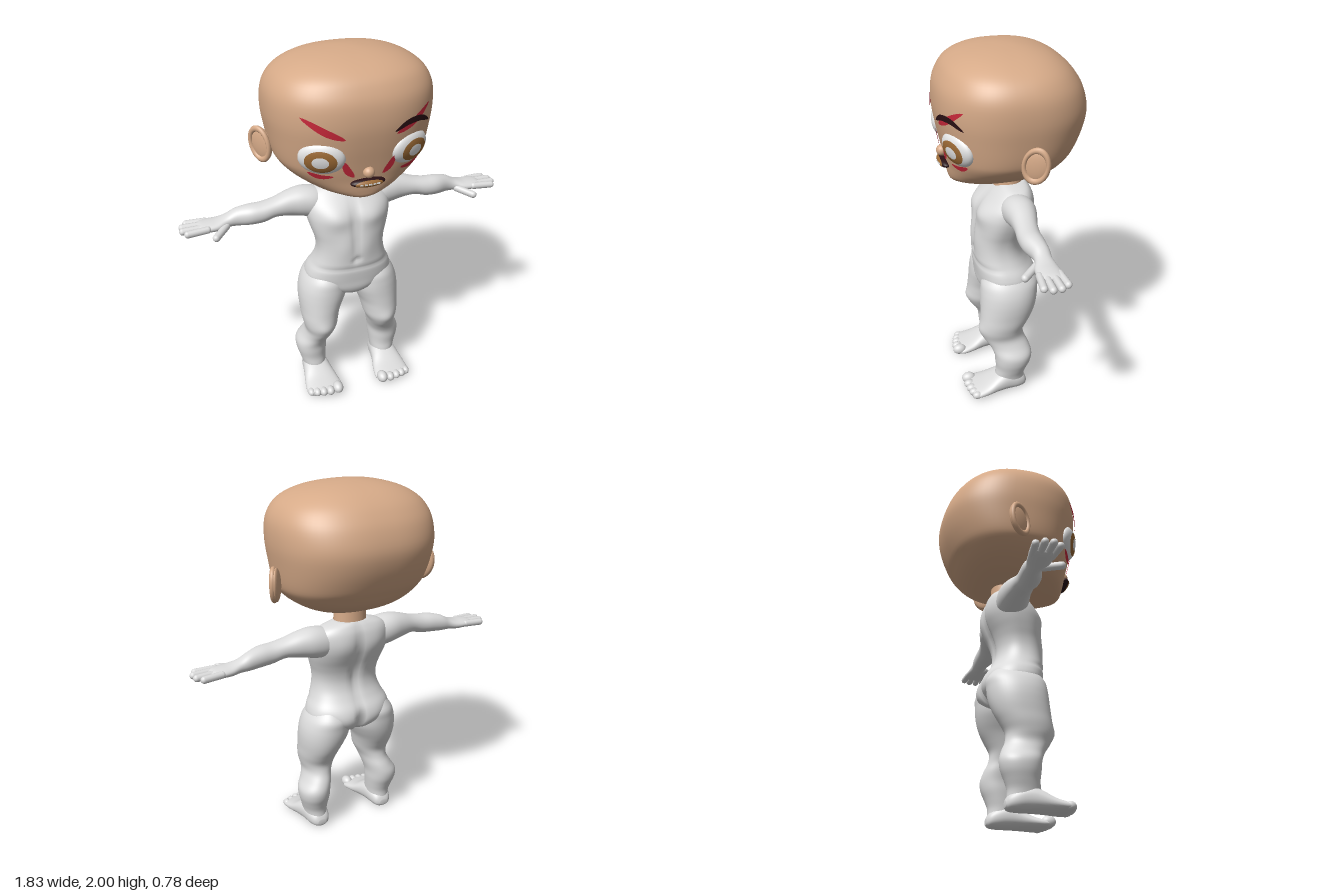
import * as THREE from 'three';

const mat = (name, color, side = THREE.FrontSide) => {
  const m = new THREE.MeshStandardMaterial({ color, side });
  m.name = name;
  return m;
};

// Smooth interpolation of section rows
function resample(rows, steps) {
  const out = [];
  const at = i => rows[Math.min(Math.max(i, 0), rows.length - 1)];
  for (let i = 0; i < rows.length - 1; i++) {
    for (let s = 0; s < steps; s++) {
      const t = s / steps;
      out.push(rows[i].map((b, k) => {
        const a = at(i - 1)[k], c = at(i + 1)[k], d = at(i + 2)[k];
        return b + 0.5 * t * (c - a + t * (2 * a - 5 * b + 4 * c - d + t * (3 * (b - c) + d - a)));
      }));
    }
  }
  out.push(rows[rows.length - 1]);
  return out;
}

// Closed loft of superellipse rows [t, uMin, uMax, vMax, vMin] along one axis
function loft(rows, axis, n = 2.2, warp = null, seg = 48) {
  const rings = resample(rows, 4), pos = [], idx = [];
  const put = (t, u, v) => {
    const p = axis === 'y' ? new THREE.Vector3(u, t, v) : axis === 'x' ? new THREE.Vector3(t, u, v) : new THREE.Vector3(u, v, t);
    if (warp) warp(p);
    pos.push(p.x, p.y, p.z);
  };
  const tri = (a, b, c) => axis === 'y' ? idx.push(a, c, b) : idx.push(a, b, c);
  const pw = c => Math.sign(c) * Math.abs(c) ** (2 / n);
  for (const [t, u0, u1, v1, v0] of rings) {
    for (let j = 0; j < seg; j++) {
      const a = j / seg * Math.PI * 2;
      put(t, (u0 + u1) / 2 + (u1 - u0) / 2 * pw(Math.cos(a)), (v0 + v1) / 2 + (v1 - v0) / 2 * pw(Math.sin(a)));
    }
  }
  const last = (rings.length - 1) * seg, c0 = rings.length * seg;
  for (const [t, u0, u1, v1, v0] of [rings[0], rings[rings.length - 1]]) put(t, (u0 + u1) / 2, (v0 + v1) / 2);
  for (let j = 0; j < seg; j++) {
    const k = (j + 1) % seg;
    for (let i = 0; i < last; i += seg) {
      tri(i + j, i + k, i + seg + j);
      tri(i + k, i + seg + k, i + seg + j);
    }
    tri(c0, k, j);
    tri(c0 + 1, last + j, last + k);
  }
  const g = new THREE.BufferGeometry();
  g.setAttribute('position', new THREE.Float32BufferAttribute(pos, 3));
  g.setIndex(idx);
  g.computeVertexNormals();
  return g;
}

// Mirror across x, keeping faces outward
function mirror(geo) {
  const g = geo.clone().scale(-1, 1, 1), ix = g.index.array;
  for (let i = 0; i < ix.length; i += 3) [ix[i], ix[i + 1]] = [ix[i + 1], ix[i]];
  return g;
}

const symmetric = rows => rows.map(([y, w, f, b]) => [y, -w, w, f, b]);
const bump = (a, b, ra, rb) => Math.exp(-((a / ra) ** 2) - (b / rb) ** 2);

const HEAD = symmetric([
  [1.29, .06, .30, .16], [1.305, .13, .318, .0], [1.33, .215, .325, -.13], [1.36, .275, .33, -.205],
  [1.4, .335, .335, -.26], [1.45, .383, .345, -.3], [1.5, .405, .355, -.333], [1.6, .424, .375, -.374],
  [1.7, .437, .387, -.39], [1.8, .432, .38, -.365], [1.87, .403, .352, -.322], [1.92, .352, .312, -.272],
  [1.96, .27, .242, -.205], [1.985, .17, .155, -.125], [1.997, .07, .07, -.05], [2, .01, .02, .0]]);
const TORSO = symmetric([
  [.575, .03, .1, .02], [.61, .1, .16, -.08], [.65, .19, .183, -.12], [.7, .245, .188, -.135],
  [.75, .24, .193, -.13], [.8, .215, .196, -.1], [.85, .197, .195, -.075], [.9, .19, .193, -.065],
  [.95, .195, .19, -.07], [1, .21, .186, -.085], [1.05, .225, .178, -.105], [1.1, .235, .165, -.12],
  [1.15, .235, .14, -.125], [1.2, .215, .1, -.12], [1.235, .17, .065, -.105], [1.255, .09, .05, -.09]]);
const LEG = [
  [.04, .155, .275, .12, -.05], [.1, .15, .285, .125, -.045], [.15, .145, .3, .12, -.06], [.2, .14, .314, .125, -.08],
  [.25, .137, .314, .13, -.086], [.3, .125, .285, .15, -.072], [.35, .112, .268, .182, -.05], [.4, .09, .278, .198, -.045],
  [.45, .078, .287, .2, -.07], [.5, .064, .29, .197, -.098], [.55, .04, .293, .194, -.118], [.6, .018, .292, .192, -.13],
  [.65, .012, .283, .188, -.135], [.7, .02, .262, .178, -.135], [.75, .06, .225, .14, -.1]];
const ARM = [
  [.1, 1.08, 1.21, .06, -.08], [.18, 1.065, 1.235, .08, -.095], [.25, 1.075, 1.242, .075, -.095], [.32, 1.09, 1.23, .065, -.08],
  [.4, 1.1, 1.205, .062, -.06], [.47, 1.083, 1.192, .066, -.055], [.54, 1.077, 1.187, .06, -.058], [.61, 1.075, 1.17, .035, -.06],
  [.66, 1.075, 1.145, .032, -.058], [.71, 1.07, 1.13, .048, -.068], [.76, 1.072, 1.125, .052, -.074], [.8, 1.075, 1.12, .05, -.072], [.825, 1.085, 1.11, .04, -.06]];
const FOOT = [
  [-.056, .19, .24, .05, .02], [-.04, .165, .262, .08, .005], [0, .15, .28, .11, 0], [.06, .14, .29, .13, 0],
  [.12, .13, .3, .11, 0], [.18, .115, .312, .075, 0], [.24, .106, .318, .055, 0], [.275, .115, .31, .045, .008]];

// Front surface of the head at a given x and y
function headZ(x, y) {
  const rows = resample(HEAD, 4);
  const i = Math.max(1, rows.findIndex(r => r[0] >= y));
  const t = (y - rows[i - 1][0]) / (rows[i][0] - rows[i - 1][0]);
  const [, , w, f, b] = rows[i].map((v, k) => rows[i - 1][k] + (v - rows[i - 1][k]) * t);
  return (f + b) / 2 + (f - b) / 2 * Math.max(0, 1 - Math.abs(x / w) ** 2.4) ** (1 / 2.4);
}

// Tapered painted stroke lying on the face
function stroke(points, width, lift = .008) {
  const curve = new THREE.CatmullRomCurve3(points.map(([x, y]) => new THREE.Vector3(x, y, 0)));
  const pos = [], idx = [], n = 20;
  for (let i = 0; i <= n; i++) {
    const p = curve.getPoint(i / n), d = curve.getTangent(i / n);
    const w = width / 2 * Math.sin(Math.PI * i / n) ** .6;
    for (const s of [-w, w]) {
      const x = p.x - d.y * s, y = p.y + d.x * s;
      pos.push(x, y, headZ(x, y) + lift);
    }
    if (i < n) idx.push(2 * i, 2 * i + 2, 2 * i + 1, 2 * i + 1, 2 * i + 2, 2 * i + 3);
  }
  const g = new THREE.BufferGeometry();
  g.setAttribute('position', new THREE.Float32BufferAttribute(pos, 3));
  g.setIndex(idx);
  g.computeVertexNormals();
  return g;
}

const ball = (x, y, z, a, b, c) => new THREE.SphereGeometry(1, 24, 16).scale(a, b, c).translate(x, y, z);

// Rounded finger between two points
function finger(a, b, r) {
  const p = new THREE.Vector3(...a), q = new THREE.Vector3(...b), d = q.clone().sub(p);
  return new THREE.CapsuleGeometry(r, d.length(), 6, 12)
    .applyQuaternion(new THREE.Quaternion().setFromUnitVectors(new THREE.Vector3(0, 1, 0), d.clone().normalize()))
    .translate(...p.add(q).multiplyScalar(.5).toArray());
}

// Band of a sphere around its +z pole
const zBand = (from, to) => new THREE.SphereGeometry(1, 40, 8, 0, Math.PI * 2, from, to - from).rotateX(Math.PI / 2);

export function createModel() {
  const model = new THREE.Group();
  const skin = mat('skin', 0xd6aa88), body = mat('pale body', 0xdcdcdc), white = mat('eye white', 0xe6e6e6);
  const brown = mat('iris brown', 0x9c6a35), dark = mat('dark brow', 0x2a1014, THREE.DoubleSide);
  const red = mat('red paint', 0xc8283a, THREE.DoubleSide);
  const add = (name, geo, material) => {
    const m = new THREE.Mesh(geo, material);
    m.name = name;
    model.add(m);
  };
  const pair = (name, geo, material) => {
    add(name + 'Left', geo, material);
    add(name + 'Right', mirror(geo), material);
  };

  // Head, neck and nose
  add('head', loft(HEAD, 'y', 2.4, null, 72), skin);
  add('neck', new THREE.CylinderGeometry(.088, .096, .18, 32).scale(1, 1, .85).translate(0, 1.29, -.005), skin);
  add('nose', ball(0, 1.452, .35, .03, .03, .03), skin);

  // Ears flare outward at the back
  const ear = g => g.rotateX(-.25).rotateY(-.6).translate(.445, 1.512, -.035);
  pair('ear', ear(ball(0, 0, 0, .022, .092, .07)), skin);
  pair('earRim', ear(new THREE.TorusGeometry(.07, .014, 10, 36).rotateY(Math.PI / 2).scale(1, 1.18, .86).translate(.012, 0, 0)), skin);

  // Eyes with ring irises
  const eye = (g, k) => g.scale(.118 * k, .09 * k, .048 * k).rotateX(.2).rotateY(.44).translate(.228, 1.543, .305);
  pair('eyeball', eye(new THREE.SphereGeometry(1, 40, 24), 1), white);
  pair('iris', eye(zBand(.36, .74), 1.02), brown);

  // Face paint and brow
  pair('browPaint', stroke([[.13, 1.65], [.22, 1.69], [.33, 1.76]], .036), red);
  pair('noseSidePaint', stroke([[.135, 1.53], [.11, 1.475], [.075, 1.435]], .036), red);
  pair('cheekPaint', stroke([[.295, 1.465], [.24, 1.442], [.175, 1.443]], .026), red);
  add('brow', stroke([[.115, 1.665], [.19, 1.7], [.27, 1.702], [.335, 1.668]], .032, .014), dark);

  // Mouth with a row of teeth
  add('lips', ball(0, 1.395, .34, .092, .023, .036), dark);
  add('mouth', zBand(0, .9).scale(.094, .0235, .0375).translate(0, 1.395, .34), brown);
  for (let i = -2; i <= 2; i++) add('tooth', new THREE.BoxGeometry(.016, .008, .006).translate(i * .022, 1.396, .376 - .002 * Math.abs(i)), white);

  // Torso with chest, navel, spine and buttock modelling
  add('torso', loft(TORSO, 'y', 2.4, p => {
    const { x, y } = p, ax = Math.abs(x);
    if (p.z > .04) {
      p.z += .022 * bump(ax - .1, y - 1.1, .08, .06) - .012 * bump(x, y - 1.08, .018, .1)
        - .014 * bump(x, y - .845, .016, .018) - .007 * bump(x, y - .95, .015, .08)
        - .006 * bump(0, y - .79, 1, .012) + .008 * bump(ax - .06, y - .93, .05, .08);
    } else if (p.z < -.03) {
      p.z += .02 * bump(x, y - 1, .025, .2) - .016 * bump(ax - .095, y - .68, .08, .07)
        + .035 * bump(x, y - .66, .02, .08) - .01 * bump(ax - .1, y - 1.13, .07, .08);
    }
  }, 72), body);

  // Legs with kneecaps, feet and toes
  pair('leg', loft(LEG, 'y', 2.1, p => {
    if (p.z > .08) p.z += .012 * bump(p.x - .19, p.y - .41, .05, .04);
  }), body);
  pair('foot', loft(FOOT, 'z', 2.3), body);
  [[.14, .27, .032], [.188, .276, .025], [.228, .27, .024], [.264, .262, .023], [.297, .25, .022]].forEach(([x, z, r]) =>
    pair('toe', ball(x, r + .006, z, r * .95, r, r * 1.25), body));

  // Arms with hands
  pair('arm', loft(ARM, 'x', 2.1), body);
  [[-.058, -.068, .868], [-.024, -.03, .893], [.012, .012, .896], [.04, .05, .875]].forEach(([z0, z1, x]) =>
    pair('finger', finger([.77, 1.1, z0], [x, 1.097, z1], .019), body));
  pair('thumb', finger([.67, 1.095, .025], [.738, 1.078, .1], .02), body);

  return model;
}
